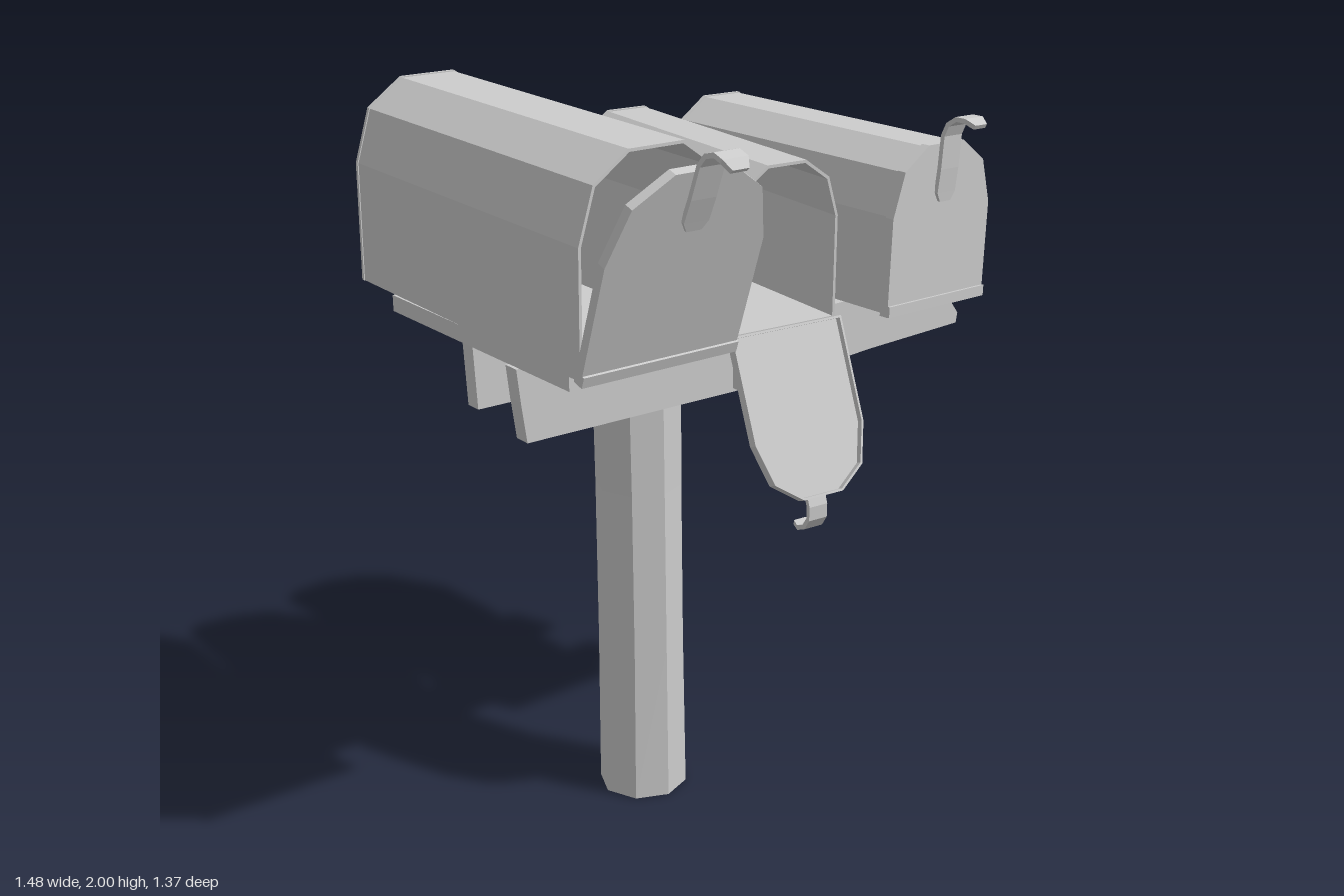
import * as THREE from 'three';

const material = new THREE.MeshStandardMaterial({ color: 0xcccccc, flatShading: true });

function add(parent, name, geometry, x = 0, y = 0, z = 0) {
  const mesh = new THREE.Mesh(geometry, material);
  mesh.name = name;
  mesh.position.set(x, y, z);
  parent.add(mesh);
  return mesh;
}

function extrude(shape, depth) {
  return new THREE.ExtrudeGeometry(shape, { depth, bevelEnabled: false });
}

const polygon = (pairs) => pairs.map(([x, y]) => new THREE.Vector2(x, y));

// Faceted arch outline: half width w, height h, base at y = y0
function arch(w, h, y0 = 0) {
  const right = [[w, 0], [w, h - 0.95 * w], [0.81 * w, h - 0.32 * w], [0.36 * w, h]];
  const left = right.map(([x, y]) => [-x, y]).reverse();
  return polygon([...right, ...left].map(([x, y]) => [x, y + y0]));
}

// Arch-shaped frame of wall thickness t
function archFrame(w, h, t, depth, y0 = 0) {
  const shape = new THREE.Shape(arch(w, h, y0));
  shape.holes.push(new THREE.Path(arch(w - t, h - 2 * t, y0 + t)));
  return extrude(shape, depth);
}

// Bent strip with a tapered tongue: rows of [height, outward, half width]
function handleGeometry(width) {
  const rows = [
    [-0.15, 0.012, 0.6], [-0.125, 0.014, 1], [-0.06, 0.02, 1], [0.03, 0.024, 1],
    [0.062, 0.038, 1], [0.08, 0.065, 1], [0.08, 0.095, 1], [0.066, 0.12, 0.65],
  ];
  const n = rows.length - 1;
  const geometry = new THREE.BoxGeometry(1, 1, 1, 1, n, 1);
  const p = geometry.attributes.position;
  for (let i = 0; i < p.count; i++) {
    const k = Math.round((p.getY(i) + 0.5) * n);
    const a = rows[Math.max(k - 1, 0)], b = rows[Math.min(k + 1, n)];
    const dy = b[0] - a[0], dz = b[1] - a[1], len = Math.hypot(dy, dz);
    const off = p.getZ(i) * 0.013;
    p.setXYZ(i, p.getX(i) * width * rows[k][2],
      rows[k][0] - (off * dz) / len, rows[k][1] + (off * dy) / len);
  }
  geometry.computeVertexNormals();
  return geometry;
}

// Mailbox with its origin at the bottom of the front opening
function mailbox(name, { w, h, length, position, rotation, doorAngle, handleWidth }) {
  const box = new THREE.Group();
  box.name = name;
  box.position.set(...position);
  box.rotation.set(...rotation, 'YXZ');

  add(box, 'shell', archFrame(w, h, 0.008, length), 0, 0, -length);
  add(box, 'backPanel', extrude(new THREE.Shape(arch(w + 0.003, h + 0.003)), 0.01), 0, 0, -length - 0.004);

  // Hinged door with a shallow rim, a bottom lip and a pull handle
  const door = new THREE.Group();
  door.name = 'door';
  door.position.set(0, 0, 0.004);
  door.rotation.x = doorAngle;
  const dw = w + 0.008, dh = h + 0.012;
  add(door, 'doorPlate', extrude(new THREE.Shape(arch(dw, dh, -0.006)), 0.01));
  add(door, 'doorRim', archFrame(dw, dh, 0.006, 0.018, -0.006), 0, 0, -0.017);
  add(door, 'doorLip', new THREE.BoxGeometry(2 * dw, 0.03, 0.008), 0, 0.01, 0.013);
  add(door, 'handle', handleGeometry(handleWidth), 0, h, 0);
  box.add(door);
  return box;
}

export function createModel() {
  const model = new THREE.Group();
  model.name = 'mailboxes';

  // Eight-sided post, slightly waisted
  const postGeometry = new THREE.CylinderGeometry(0.123, 0.125, 1.39, 8, 3);
  const p = postGeometry.attributes.position;
  for (let i = 0; i < p.count; i++) {
    const s = Math.abs(p.getY(i)) < 0.4 ? 0.95 : 1;
    p.setX(i, p.getX(i) * s);
  }
  add(model, 'post', postGeometry, -0.25, 0.695, -0.09);

  // Rails: two overlapping boards in front, one behind the post
  const frontRail = [[-0.73, 1.39], [-0.72, 1.3], [-0.705, 1.19], [0.225, 1.19], [0.23, 1.39]];
  const brokenRail = [[-0.05, 1.385], [-0.05, 1.2], [0.4, 1.235], [0.735, 1.25], [0.74, 1.28],
    [0.71, 1.32], [0.735, 1.35], [0.735, 1.4], [0.6, 1.395]];
  const backRail = [[-0.68, 1.39], [-0.67, 1.19], [0.2, 1.19], [0.62, 1.2], [0.65, 1.39]];
  add(model, 'frontRail', extrude(new THREE.Shape(polygon(frontRail)), 0.05), 0, 0, 0.028);
  add(model, 'brokenRail', extrude(new THREE.Shape(polygon(brokenRail)), 0.048), 0, 0, 0.075);
  add(model, 'backRail', extrude(new THREE.Shape(polygon(backRail)), 0.05), 0, 0, -0.268);

  // Board lifting the largest box
  add(model, 'riserBoard', new THREE.BoxGeometry(0.39, 0.045, 0.86), -0.525, 1.412, -0.13);

  model.add(
    mailbox('largeMailbox', {
      w: 0.225, h: 0.54, length: 1.04, position: [-0.5, 1.43, 0.352],
      rotation: [0.022, 0.013, 0], doorAngle: 0.32, handleWidth: 0.074,
    }),
    mailbox('openMailbox', {
      w: 0.167, h: 0.44, length: 0.77, position: [-0.02, 1.405, 0.253],
      rotation: [0.02, -0.058, 0], doorAngle: 2.74, handleWidth: 0.058,
    }),
    mailbox('closedMailbox', {
      w: 0.185, h: 0.44, length: 0.87, position: [0.476, 1.393, 0.287],
      rotation: [0.018, 0.089, -0.03], doorAngle: 0, handleWidth: 0.07,
    }),
  );
  return model;
}
